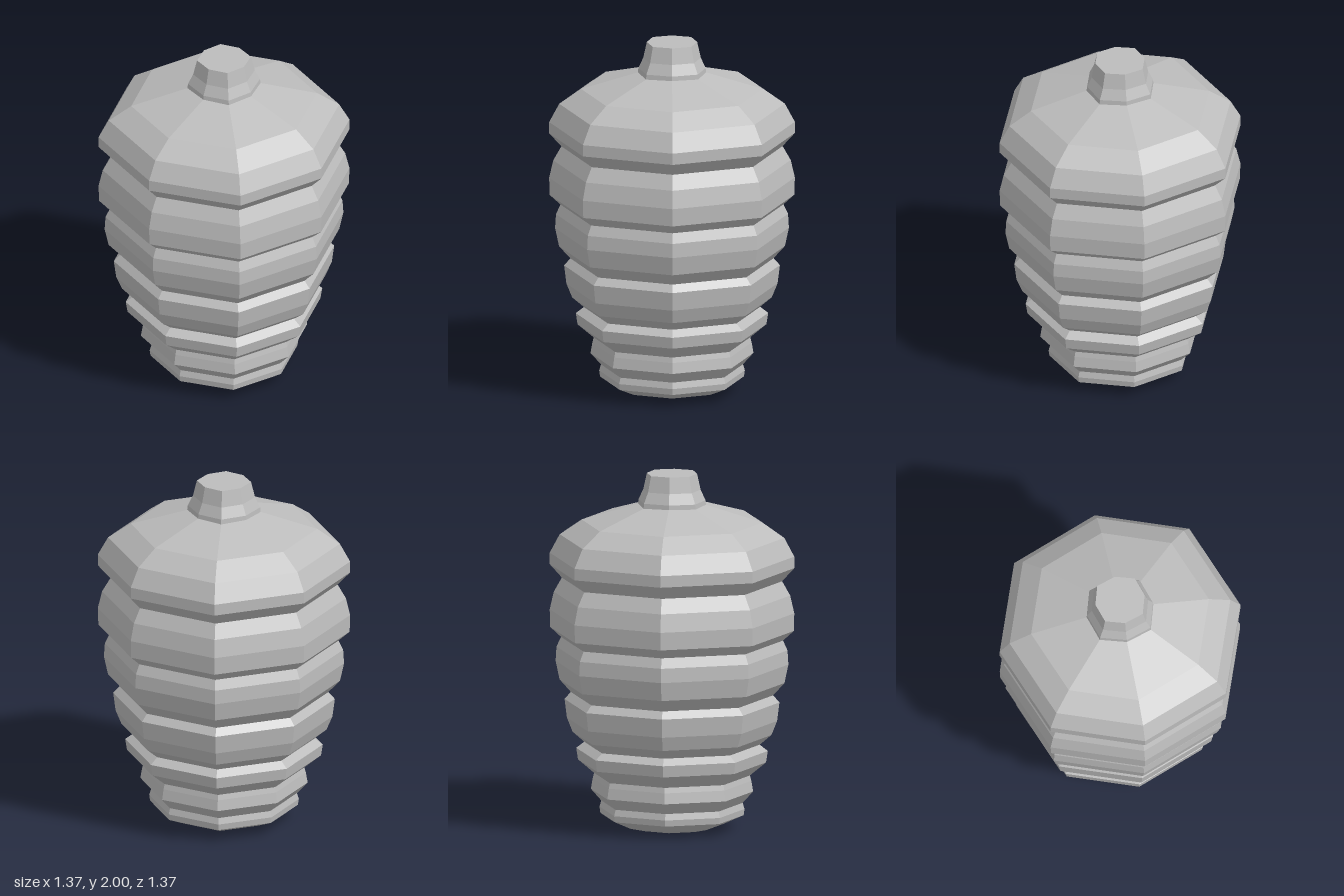
import * as THREE from 'three';

const SIDES = 8;

// Eight-sided lathe whose diagonal corners are pushed out a little
function octagonLathe(name, profile, diagonal, material) {
  const points = profile.map(([r, y]) => new THREE.Vector2(r, y));
  const geometry = new THREE.LatheGeometry(points, SIDES);
  const pos = geometry.attributes.position;
  for (let i = 0; i < pos.count; i++) {
    const column = Math.floor(i / points.length);
    if (column % 2 === 1) pos.setXYZ(i, pos.getX(i) * diagonal, pos.getY(i), pos.getZ(i) * diagonal);
  }
  geometry.computeVertexNormals();
  const mesh = new THREE.Mesh(geometry, material);
  mesh.name = name;
  return mesh;
}

export function createModel() {
  const grey = new THREE.MeshStandardMaterial({ color: 0xbcbcbc, flatShading: true });
  grey.name = 'plain grey';

  const group = new THREE.Group();
  group.name = 'ribbedBody';

  // Stacked ribs, each listed from bottom to top as [radius, height]
  const base = [[0, 0.07], [0.09, 0.07], [0.13, 0], [0.19, 0], [0.29, 0.025], [0.4, 0.075], [0.405, 0.11]];
  const ribs = [
    [[0.395, 0.145], [0.453, 0.21], [0.443, 0.27]],
    [[0.435, 0.3], [0.525, 0.375], [0.535, 0.44]],
    [[0.49, 0.475], [0.555, 0.53], [0.587, 0.61], [0.6, 0.715]],
    [[0.565, 0.755], [0.628, 0.825], [0.65, 0.93], [0.645, 1.01]],
    [[0.62, 1.065], [0.68, 1.12], [0.683, 1.22], [0.66, 1.32]],
    [[0.615, 1.4], [0.683, 1.475], [0.683, 1.54], [0.627, 1.645], [0.505, 1.73]],
  ];
  const shoulder = [[0.19, 1.825], [0.1, 1.83]];
  group.add(octagonLathe('body', [...base, ...ribs.flat(), ...shoulder], 1.03, grey));

  // Short tapered stem with a flat top
  group.add(octagonLathe('stem', [[0.19, 1.82], [0.187, 1.85], [0.16, 1.91], [0.14, 2], [0, 2]], 1.08, grey));

  return group;
}
